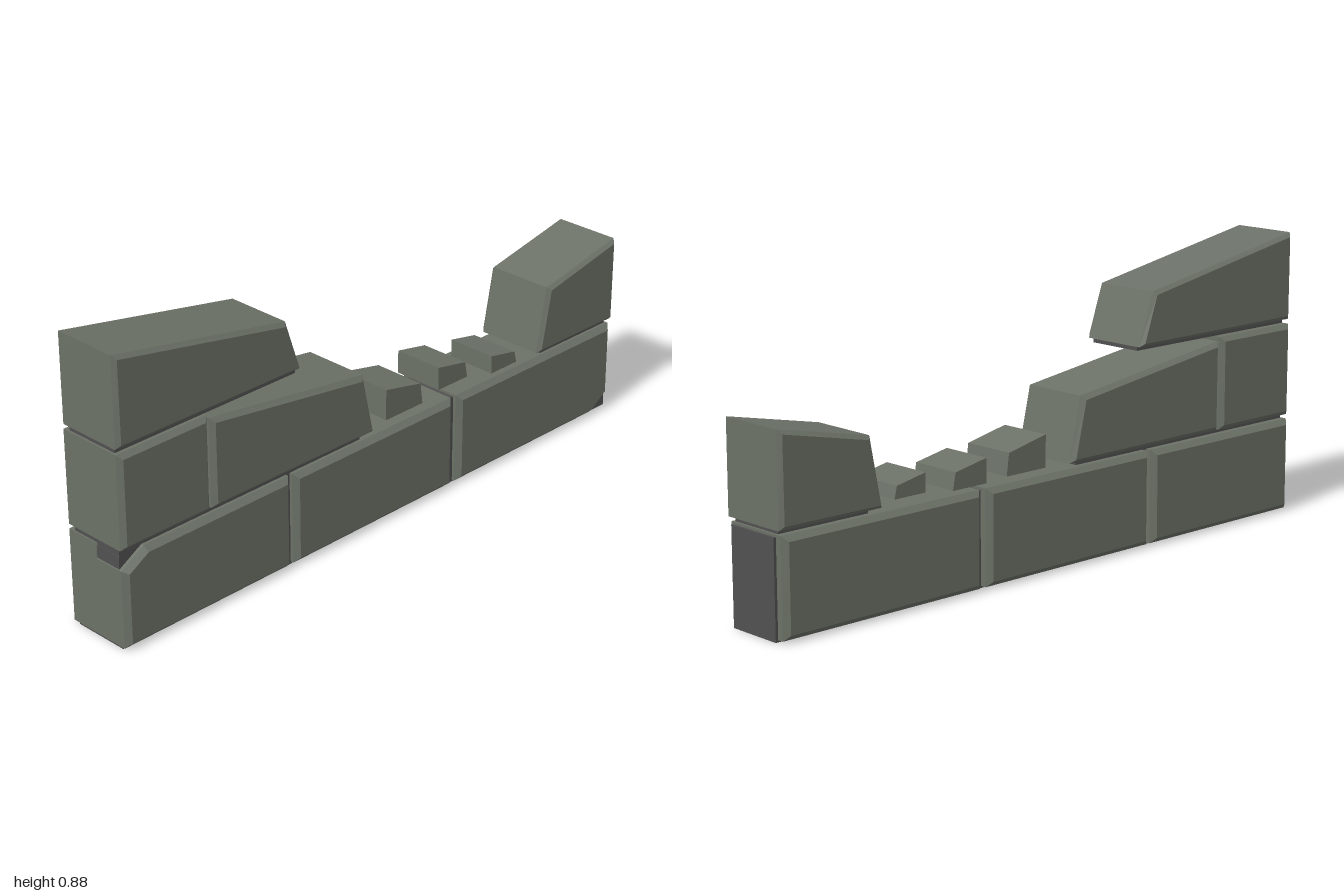
import * as THREE from 'three';

export function createModel() {
  const root = new THREE.Group();
  root.name = 'brokenStoneWall';
  const stone = new THREE.MeshStandardMaterial({ color: 0x6c7268, flatShading: true });
  stone.name = 'greenGreyStone';
  const mortar = new THREE.MeshStandardMaterial({ color: 0x515151, flatShading: true });
  mortar.name = 'darkMortar';

  // Convex block from an outline in x/y, spanning z0..z1, with chamfered edges
  function block(name, pts, z0, z1, bevel = 0) {
    const shape = new THREE.Shape(pts.map(([x, y]) => new THREE.Vector2(x, y)));
    const geo = new THREE.ExtrudeGeometry(shape, {
      depth: z1 - z0 - 2 * bevel,
      bevelEnabled: bevel > 0,
      bevelThickness: bevel,
      bevelSize: bevel,
      bevelOffset: -bevel,
      bevelSegments: 1,
    });
    geo.translate(0, 0, z0 + bevel);
    const mesh = new THREE.Mesh(geo, stone);
    mesh.name = name;
    root.add(mesh);
  }

  function fill(name, x0, x1, y0, y1) {
    const mesh = new THREE.Mesh(new THREE.BoxGeometry(x1 - x0, y1 - y0, 0.18), mortar);
    mesh.position.set((x0 + x1) / 2, (y0 + y1) / 2, 0.005);
    mesh.name = name;
    root.add(mesh);
  }

  const rect = (x0, x1, y0, y1) => [[x0, y0], [x1, y0], [x1, y1], [x0, y1]];

  // Mortar core
  fill('baseMortar', -0.998, 1, 0, 0.285);
  fill('middleMortar', -0.996, -0.42, 0.28, 0.5);
  fill('leftBedMortar', -0.995, -0.1, 0.27, 0.33);
  fill('rightBedMortar', 0.68, 0.985, 0.27, 0.33);
  fill('jointMortar', -0.9, -0.6, 0.48, 0.565);
  fill('topBedMortar', -0.995, -0.35, 0.593, 0.62);

  // Bottom course: the outer stones have a chipped corner on the front only
  const b = 0.016, y0 = 0.006, y1 = 0.292;
  block('bottomStoneLeftFront',
    [[-1, y0], [-0.39, y0], [-0.39, y1], [-0.92, y1], [-1, 0.245]], -0.02, 0.12, b);
  block('bottomStoneLeftBack', rect(-1, -0.39, y0, y1), -0.12, 0.02, b);
  block('bottomStoneMiddle', rect(-0.376, 0.272, y0, y1), -0.12, 0.12, b);
  block('bottomStoneRightFront',
    [[0.294, y0], [0.92, y0], [0.992, 0.055], [0.992, y1], [0.294, y1]], -0.02, 0.12, b);
  block('bottomStoneRightBack', rect(0.294, 0.992, y0, y1), -0.12, 0.02, b);

  // Middle course
  block('middleStoneLeft', rect(-1, -0.685, 0.306, 0.592), -0.118, 0.118, 0.014);
  block('middleStoneBroken',
    [[-0.678, 0.306], [-0.055, 0.306], [-0.098, 0.5], [-0.678, 0.58]], -0.118, 0.118, 0.014);
  block('middleStoneRight',
    [[0.65, 0.306], [1, 0.306], [1, 0.577], [0.69, 0.512]], -0.118, 0.118, 0.012);

  // Top course
  block('topStone',
    [[-1, 0.607], [-0.34, 0.607], [-0.393, 0.766], [-1, 0.877]], -0.115, 0.115, 0.012);

  // Loose rubble: left, right, top right, high y, low y, back z, front z
  [
    [0.02, 0.172, 0.163, 0.402, 0.372, -0.085, 0.085],
    [0.265, 0.39, 0.38, 0.378, 0.356, -0.102, 0.062],
    [0.455, 0.567, 0.558, 0.362, 0.342, -0.062, 0.1],
  ].forEach(([l, r, t, hi, lo, back, front], i) =>
    block(`rubble${i + 1}`, [[l, 0.305], [r, 0.305], [t, lo], [l, hi]], back, front));

  return root;
}
